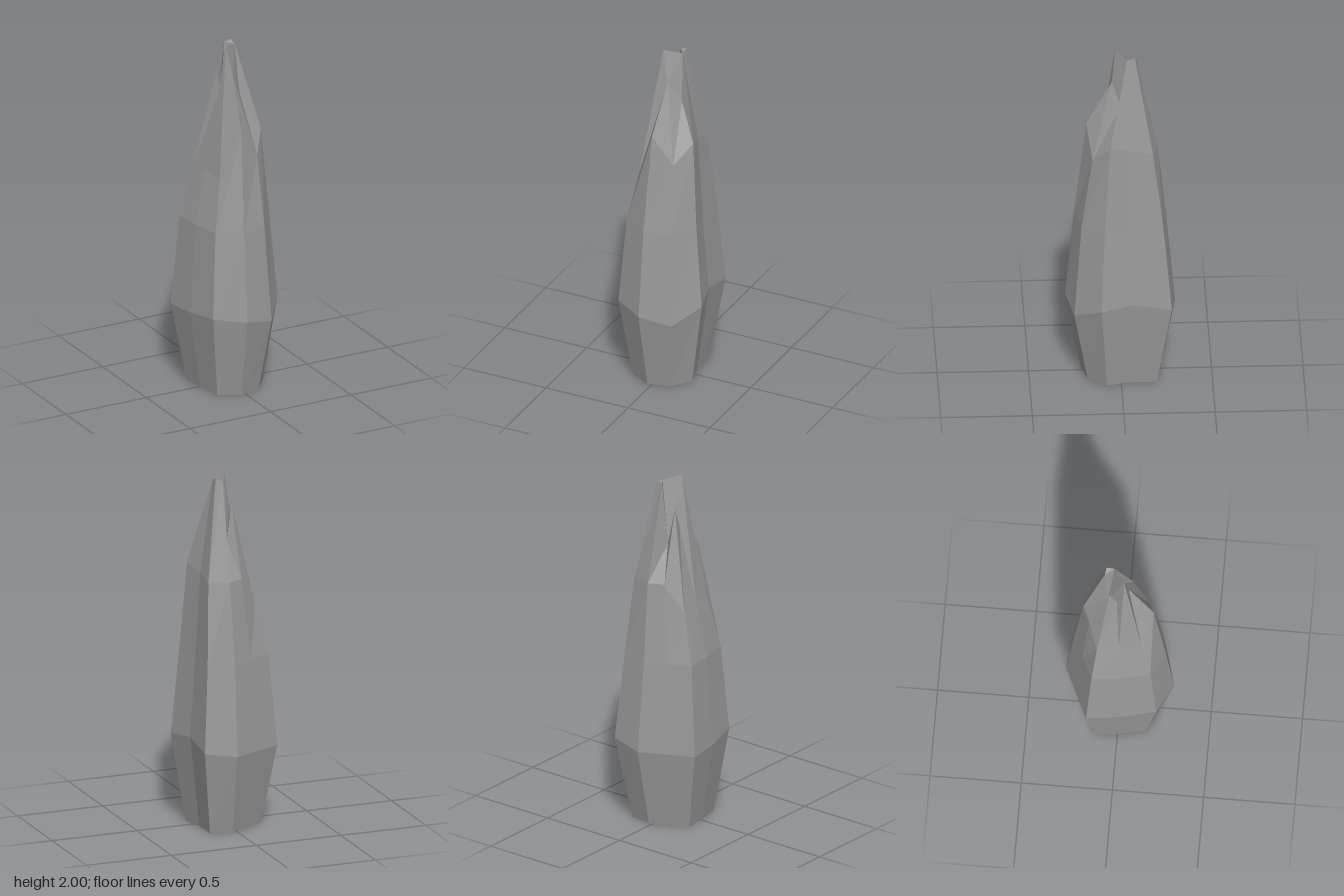
import * as THREE from 'three';

// Outline at the widest level, clockwise seen from above: [x, y, z]
const belt = [
  [-0.26, 0.45, -0.165], [-0.11, 0.45, -0.235], [0.03, 0.45, -0.30], [0.21, 0.48, -0.275], [0.213, 0.52, -0.065],
  [0.256, 0.50, 0.11], [0.14, 0.42, 0.255], [-0.035, 0.46, 0.30], [-0.20, 0.48, 0.215], [-0.24, 0.46, 0.02],
];

// Uneven broken rim in the same order
const rim = [
  [-0.15, 1.25, -0.115], [-0.05, 1.42, -0.165], [0.035, 1.42, -0.205], [0.15, 1.42, -0.175], [0.15, 1.45, -0.06],
  [0.18, 1.48, 0.06], [0.105, 1.37, 0.155], [-0.01, 1.54, 0.185], [-0.115, 1.26, 0.13], [-0.135, 1.28, 0.005],
];

// Points of the jagged peak, indices 10 to 18
const peaks = [
  [-0.035, 1.83, -0.055], // 10 back splinter
  [0, 1.62, -0.072],      // 11 back cleft
  [0.03, 1.97, -0.085],   // 12 back summit
  [0.068, 1.98, -0.08],   // 13 back summit corner
  [0.068, 1.97, -0.035],  // 14 side summit
  [0.08, 1.69, 0],        // 15 front shoulder
  [0.015, 1.81, 0.045],   // 16 front splinter
  [-0.02, 2.0, 0.025],    // 17 highest tip
  [-0.035, 1.72, -0.015], // 18 side cleft
];

// Facets joining the rim (0 to 9) to the peak
const facets = [
  [1, 0, 10], [1, 10, 11], [2, 1, 11], [2, 11, 12], [3, 2, 12], [3, 12, 13],
  [4, 3, 13], [4, 13, 14], [5, 4, 14], [5, 14, 15], [6, 5, 15], [6, 15, 16],
  [7, 6, 16], [8, 7, 16], [8, 16, 17], [9, 8, 17], [9, 17, 18], [0, 9, 18], [0, 18, 10],
  [10, 18, 11], [18, 17, 11], [17, 14, 11], [14, 13, 12], [14, 12, 11], [17, 16, 14], [16, 15, 14],
];

// The belt outline scaled inward and moved to another height
const scaledRing = (scale, y) => belt.map(([x, , z]) => [x * scale, y, z * scale]);

function facetedMesh(name, triangles, material) {
  const geometry = new THREE.BufferGeometry();
  geometry.setAttribute('position', new THREE.Float32BufferAttribute(triangles.flat(2), 3));
  geometry.computeVertexNormals();
  const mesh = new THREE.Mesh(geometry, material);
  mesh.name = name;
  return mesh;
}

export function createModel() {
  const stone = new THREE.MeshStandardMaterial({ color: 0x999999 });
  stone.name = 'grey stone';
  stone.flatShading = true;

  // Tapered body and flat base
  const rings = [scaledRing(0.71, 0), belt, scaledRing(0.84, 0.97), rim];
  const body = [];
  const n = belt.length;
  for (let i = 0; i < n; i++) {
    const j = (i + 1) % n;
    for (let r = 0; r < rings.length - 1; r++) {
      const low = rings[r], high = rings[r + 1];
      body.push([low[j], low[i], high[i]], [low[j], high[i], high[j]]);
    }
    body.push([rings[0][i], rings[0][j], [0, 0, 0]]);
  }

  // Broken, splintered summit
  const points = [...rim, ...peaks];
  const summit = facets.map((facet) => facet.map((k) => points[k]));

  const group = new THREE.Group();
  group.name = 'standingRock';
  group.add(facetedMesh('rockBody', body, stone), facetedMesh('rockPeak', summit, stone));
  return group;
}
